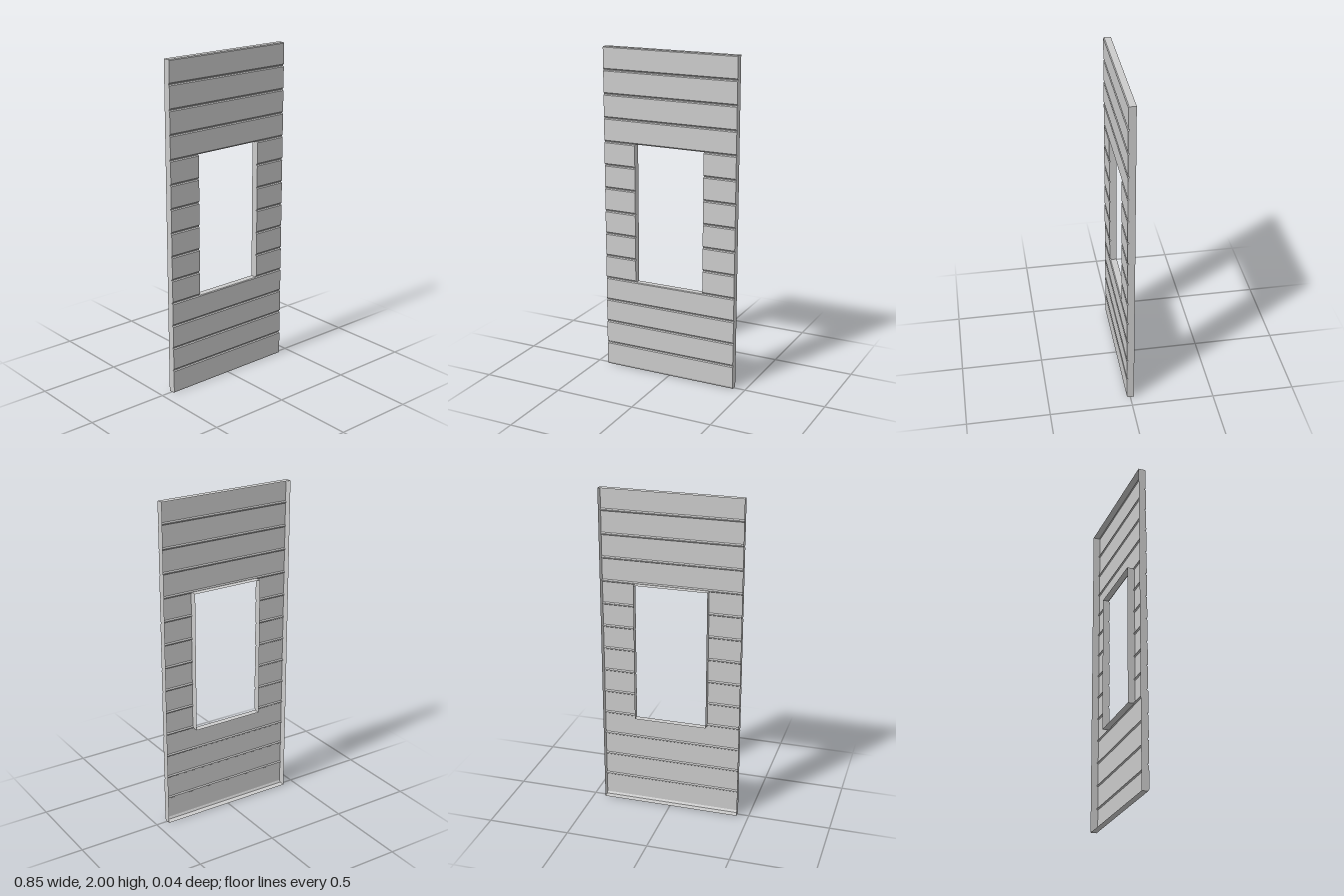
import * as THREE from 'three';

const W = 0.427, BACK = -0.022, FRONT = 0.022, GROOVE = 0.015; // panel half width and depths
const WIN = { x: 0.223, y0: 0.573, y1: 1.435 };                // window opening
const PITCH = 0.143, BOARDS = 14;

// Front outline of the cladding as (y, z) points: bevelled boards with grooves between
function claddingProfile() {
  const pts = [[0, GROOVE]];
  for (let k = 0; k < BOARDS; k++) {
    const y = 0.005 + k * PITCH;
    if (k > 0) pts.push([y - 0.003, GROOVE], [y + 0.002, GROOVE]);
    pts.push([y + 0.008, FRONT]);
    if (k < BOARDS - 1) pts.push([y + PITCH - 0.008, FRONT]);
  }
  pts.push([1.995, FRONT], [2, 0.017]);
  return pts;
}

// Depth of the outline at a height
function depthAt(profile, y) {
  for (let i = 1; i < profile.length; i++) {
    const [ya, za] = profile[i - 1], [yb, zb] = profile[i];
    if (y <= yb) return za + (zb - za) * (y - ya) / (yb - ya);
  }
  return profile[profile.length - 1][1];
}

// Part of the outline between two heights
function slice(profile, y0, y1) {
  return [
    [y0, depthAt(profile, y0)],
    ...profile.filter(([y]) => y > y0 + 1e-5 && y < y1 - 1e-5),
    [y1, depthAt(profile, y1)],
  ];
}

// Flat shaded sheet made of four-cornered faces
function sheet(name, quads, material) {
  const pos = quads.flatMap(([a, b, c, d]) => [a, b, c, a, c, d].flat());
  const g = new THREE.BufferGeometry();
  g.setAttribute('position', new THREE.Float32BufferAttribute(pos, 3));
  g.computeVertexNormals();
  const mesh = new THREE.Mesh(g, material);
  mesh.name = name;
  return mesh;
}

// Cladding running from xa to xb, facing +z
const boards = (pts, xa, xb) => pts.slice(1).map(([y, z], i) => {
  const [yp, zp] = pts[i];
  return [[xa, yp, zp], [xb, yp, zp], [xb, y, z], [xa, y, z]];
});

// Upright return from the cladding to the back, facing +x or -x
const upright = (pts, x, facing) => pts.slice(1).map(([y, z], i) => {
  const [yp, zp] = pts[i];
  const q = [[x, yp, zp], [x, yp, BACK], [x, y, BACK], [x, y, z]];
  return facing > 0 ? q : q.reverse();
});

// Level return from the cladding to the back, facing up or down
const level = (y, z, x, facing) => {
  const q = [[-x, y, z], [x, y, z], [x, y, BACK], [-x, y, BACK]];
  return [facing > 0 ? q : q.reverse()];
};

export function createModel() {
  const group = new THREE.Group();
  group.name = 'windowWallPanel';
  const material = new THREE.MeshStandardMaterial({ color: 0xcccccc, side: THREE.DoubleSide });
  const profile = claddingProfile();
  const middle = slice(profile, WIN.y0, WIN.y1);
  const add = (name, quads) => group.add(sheet(name, quads, material));

  // Cladding around the opening
  add('lowerCladding', boards(slice(profile, 0, WIN.y0), -W, W));
  add('upperCladding', boards(slice(profile, WIN.y1, 2), -W, W));
  add('leftCladding', boards(middle, WIN.x, W));
  add('rightCladding', boards(middle, -W, -WIN.x));

  // Outer edges
  add('leftEdge', upright(profile, W, 1));
  add('rightEdge', upright(profile, -W, -1));
  add('topEdge', level(2, depthAt(profile, 2), W, 1));
  add('bottomEdge', level(0, GROOVE, W, -1));

  // Window reveal
  add('leftReveal', upright(middle, WIN.x, -1));
  add('rightReveal', upright(middle, -WIN.x, 1));
  add('windowSill', level(WIN.y0, depthAt(profile, WIN.y0), WIN.x, 1));
  add('windowHead', level(WIN.y1, depthAt(profile, WIN.y1), WIN.x, -1));
  return group;
}
